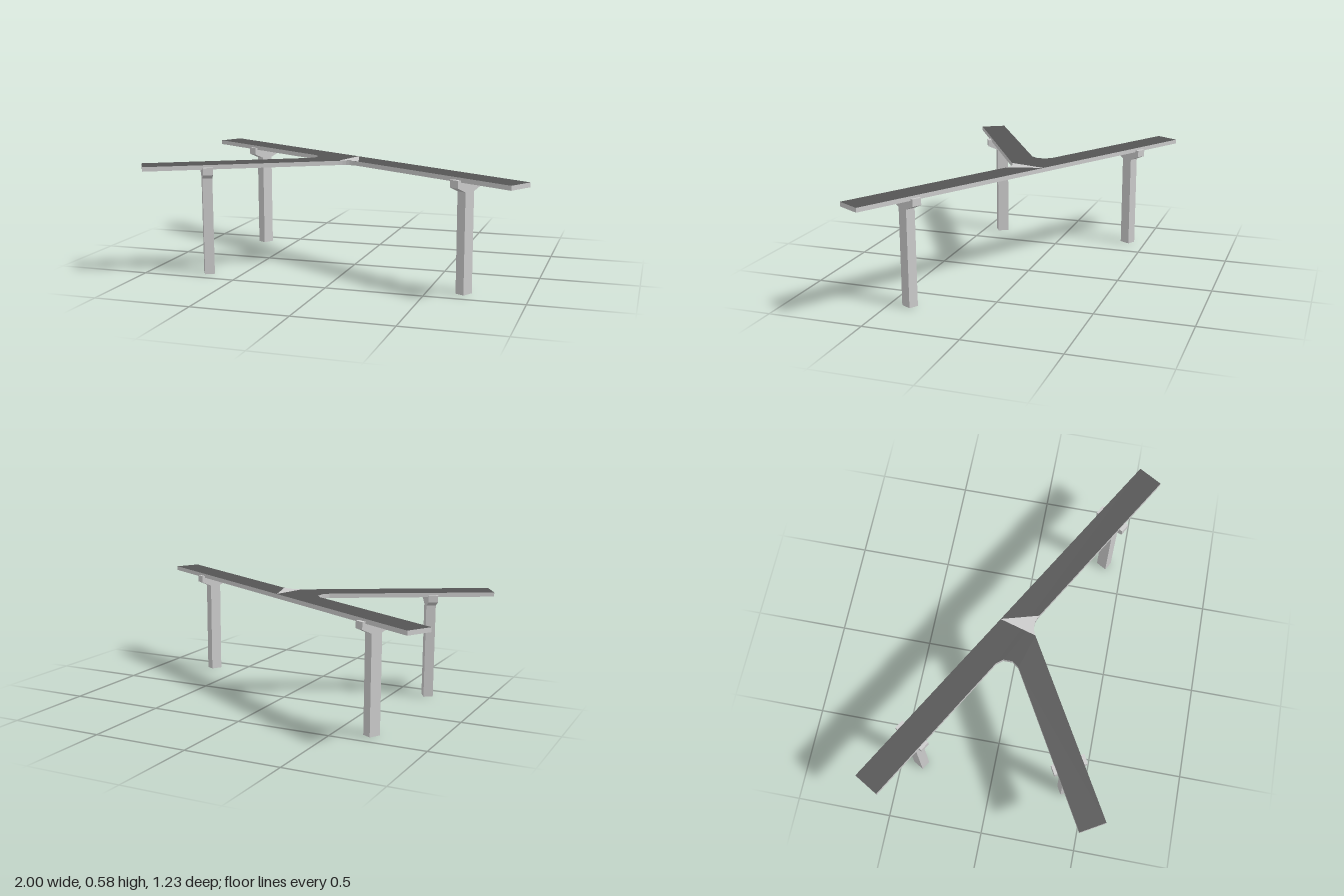
import * as THREE from 'three';

const DECK_BOTTOM = 0.56, DECK_TOP = 0.583;
const grey = new THREE.MeshStandardMaterial({ color: 0xcccccc, flatShading: true });
const dark = new THREE.MeshStandardMaterial({ color: 0x555555, flatShading: true });

// Lays a shape drawn in (x, -z) flat, at height y
function layFlat(geometry, y) {
  return geometry.rotateX(-Math.PI / 2).translate(0, y, 0);
}

// Three-armed deck with filleted inner corners
function makeDeck() {
  const s = new THREE.Shape();
  s.moveTo(-1, 0.497);
  s.lineTo(-0.24, 0.058);
  s.lineTo(-0.213, 0.024);
  s.lineTo(-0.213, -0.024);
  s.lineTo(-0.24, -0.058);
  s.lineTo(-1, -0.497);
  s.lineTo(-0.93, -0.617);
  s.lineTo(-0.055, -0.111);
  s.quadraticCurveTo(0, -0.079, 0.055, -0.111);
  s.lineTo(0.93, -0.617);
  s.lineTo(1, -0.497);
  s.lineTo(-0.93, 0.617);
  const geometry = new THREE.ExtrudeGeometry(s, {
    depth: DECK_TOP - DECK_BOTTOM, bevelEnabled: false, curveSegments: 6,
  });
  const deck = new THREE.Mesh(layFlat(geometry, DECK_BOTTOM), [dark, grey]);
  deck.name = 'deck';
  return deck;
}

// Pale wedge marking where the arms meet
function makeGore() {
  const s = new THREE.Shape();
  s.moveTo(0, 0.081);
  s.lineTo(-0.055, -0.111);
  s.quadraticCurveTo(0, -0.079, 0.055, -0.111);
  const gore = new THREE.Mesh(layFlat(new THREE.ShapeGeometry(s, 6), DECK_TOP + 0.001), grey);
  gore.name = 'junctionWedge';
  return gore;
}

// T-shaped pier: column and flared cap in one profile, cut across the arm
function makePier(name, x, z, angle) {
  const column = 0.031, cap = 0.087, depth = 0.051;
  const s = new THREE.Shape([
    [-column, 0], [column, 0], [column, 0.508], [cap, 0.533], [cap, 0.57],
    [-cap, 0.57], [-cap, 0.533], [-column, 0.508],
  ].map(([px, py]) => new THREE.Vector2(px, py)));
  const geometry = new THREE.ExtrudeGeometry(s, { depth, bevelEnabled: false });
  geometry.translate(0, 0, -depth / 2);
  const pier = new THREE.Mesh(geometry, grey);
  pier.name = name;
  pier.position.set(x, 0, z);
  pier.rotation.y = angle;
  return pier;
}

export function createModel() {
  const model = new THREE.Group();
  model.name = 'forkedBridge';
  const turn = Math.PI / 3;
  model.add(
    makeDeck(),
    makeGore(),
    makePier('leftPier', 0.68, 0.395, turn),
    makePier('rightBackPier', -0.68, -0.395, turn),
    makePier('rightFrontPier', -0.68, 0.395, -turn),
  );
  return model;
}
